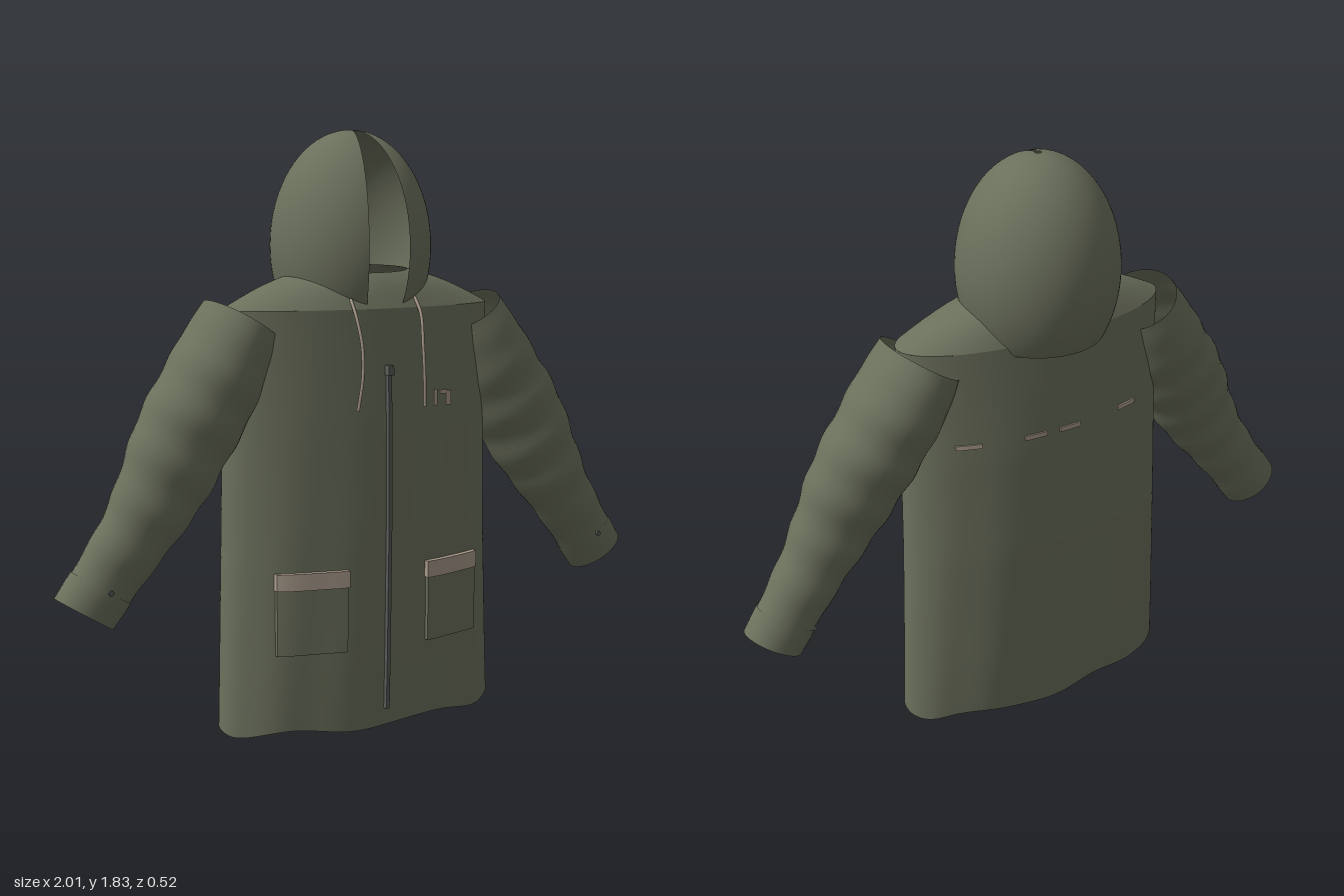
import * as THREE from 'three';

const fabric = new THREE.MeshStandardMaterial({ color: 0x6b705c, side: THREE.DoubleSide });
fabric.name = 'olive fabric';
const trim = new THREE.MeshStandardMaterial({ color: 0xa89a8a });
trim.name = 'beige trim';
const metal = new THREE.MeshStandardMaterial({ color: 0x585b58 });
metal.name = 'grey metal';

function part(group, name, geometry, material) {
  const mesh = new THREE.Mesh(geometry, material);
  mesh.name = name;
  group.add(mesh);
  return mesh;
}

// Skin over rings of equal length, each closed on itself
function loft(rings, flip = false) {
  const n = rings[0].length, positions = [], index = [];
  rings.forEach(r => r.forEach(p => positions.push(p.x, p.y, p.z)));
  for (let i = 0; i < rings.length - 1; i++) {
    for (let j = 0; j < n; j++) {
      const a = i * n + j, b = i * n + (j + 1) % n, c = a + n, d = b + n;
      if (flip) index.push(a, b, c, b, d, c);
      else index.push(a, c, b, b, c, d);
    }
  }
  const g = new THREE.BufferGeometry();
  g.setAttribute('position', new THREE.Float32BufferAttribute(positions, 3));
  g.setIndex(index);
  g.computeVertexNormals();
  return g;
}

const makeRing = (n, fn) => Array.from({ length: n }, (_, j) => fn(j / n * Math.PI * 2));

// Body cross-sections: y, half width, back z, front z
const sections = [
  [0.0, 0.48, -0.15, 0.212], [0.2, 0.473, -0.162, 0.218], [0.6, 0.461, -0.173, 0.224],
  [0.95, 0.455, -0.165, 0.222], [1.15, 0.455, -0.152, 0.216], [1.3, 0.46, -0.14, 0.21],
];

function section(y) {
  let i = 0;
  while (i < sections.length - 2 && y > sections[i + 1][0]) i++;
  const [lo, hi] = [sections[i], sections[i + 1]];
  const k = THREE.MathUtils.clamp((y - lo[0]) / (hi[0] - lo[0]), 0, 1);
  return [1, 2, 3].map(c => THREE.MathUtils.lerp(lo[c], hi[c], k));
}

function bodyPoint(a, y) {
  const [w, back, front] = section(y);
  const fold = 1 + 0.022 * Math.sin(11 * a + 1.5 * y) * Math.max(0, 1 - y / 1.25);
  return new THREE.Vector3(w * Math.cos(a), y,
    (front + back) / 2 + (front - back) / 2 * Math.sin(a) * fold);
}

// Thin plate bent over the front (side 1) or back (side -1) of the body
function plate(x, y, w, h, depth, side = 1) {
  const g = new THREE.BoxGeometry(w, h, depth, 16, 6, 1);
  const p = g.attributes.position;
  for (let i = 0; i < p.count; i++) {
    const px = p.getX(i) + x, py = p.getY(i) + y;
    const a = Math.acos(px / section(py)[0]) * side;
    p.setXYZ(i, px, py, bodyPoint(a, py).z + p.getZ(i) + side * depth * 0.4);
  }
  g.computeVertexNormals();
  return g;
}

// Sleeve profile along its axis: distance, outer and inner reach, back and front z
const sleeveRows = [
  [0, 0.122, -0.122, -0.13, 0.17], [0.12, 0.134, -0.145, -0.134, 0.187],
  [0.25, 0.14, -0.158, -0.115, 0.187], [0.4, 0.142, -0.158, -0.09, 0.181],
  [0.55, 0.12, -0.152, -0.057, 0.17], [0.69, 0.097, -0.13, -0.04, 0.156],
  [0.85, 0.094, -0.108, -0.033, 0.136], [0.982, 0.098, -0.096, -0.034, 0.126],
];
const curve = (a, b) => new THREE.CatmullRomCurve3(
  sleeveRows.map(r => new THREE.Vector3(r[0], r[a], r[b])), false, 'catmullrom', 0.5);
const reach = curve(1, 2), depth = curve(3, 4);

function sleeve(m, from, to, steps, pad = 0) {
  const rings = [];
  for (let i = 0; i <= steps; i++) {
    const u = from + (to - from) * i / steps;
    const r = reach.getPoint(u), d = depth.getPoint(u), t = r.x;
    const ripple = 0.005 * Math.sin(t * 42) * Math.sin(Math.PI * u);
    rings.push(makeRing(40, a => {
      const s = (r.y + r.z) / 2 + ((r.y - r.z) / 2 + pad + ripple * 0.6) * Math.cos(a);
      const z = (d.y + d.z) / 2 + ((d.z - d.y) / 2 + pad + ripple) * Math.sin(a);
      return new THREE.Vector3(m * (0.395 + 0.535 * t + 0.845 * s),
        1.265 - 0.845 * t + 0.535 * s, z);
    }));
  }
  return loft(rings, m > 0);
}

export function createModel() {
  const coat = new THREE.Group();
  coat.name = 'hoodedCoat';

  // Body with a gently waved hem
  const bodyRings = [];
  for (let i = 0; i <= 30; i++) {
    const y = 1.3 * i / 30;
    bodyRings.push(makeRing(120, a => {
      const p = bodyPoint(a, y);
      if (i === 0) p.y = 0.01 + 0.01 * Math.sin(6 * a + 0.5);
      return p;
    }));
  }
  part(coat, 'body', loft(bodyRings), fabric);

  // Shoulder yoke closing up to the neck opening
  const yokeRings = [];
  for (let i = 0; i <= 8; i++) {
    const k = i / 8;
    yokeRings.push(makeRing(96, a => {
      const rim = bodyPoint(a, 1.3);
      const neck = new THREE.Vector3(0.17 * Math.cos(a), 1.412 - 0.008 * Math.sin(a),
        0.03 + 0.11 * Math.sin(a));
      const p = rim.lerp(neck, k);
      p.y += 0.012 * Math.sin(Math.PI * k);
      return p;
    }));
  }
  part(coat, 'shoulderYoke', loft(yokeRings), fabric);

  // Hood: an egg with a wedge left open at the face
  const gap = 0.285;
  const hood = part(coat, 'hood', new THREE.SphereGeometry(1, 64, 40,
    Math.PI / 2 + gap, Math.PI * 2 - gap * 2, 0.04, 2.165), fabric);
  hood.scale.set(0.25, 0.355, 0.25);
  hood.position.set(0, 1.48, -0.01);

  // Front zip
  part(coat, 'zip', plate(0, 0.595, 0.012, 1.07, 0.018), metal);
  part(coat, 'zipPull', plate(0, 1.115, 0.018, 0.03, 0.028), metal);

  for (const m of [1, -1]) {
    const side = m > 0 ? 'left' : 'right';

    part(coat, side + 'Sleeve', sleeve(m, 0, 1, 56), fabric);
    part(coat, side + 'Cuff', sleeve(m, 0.9, 1, 6, 0.003), fabric);
    const button = part(coat, side + 'CuffButton',
      new THREE.CylinderGeometry(0.008, 0.008, 0.008, 12), metal);
    button.rotation.x = Math.PI / 2;
    button.position.set(m * 0.87, 0.51, 0.137);

    // Patch pocket with flap
    part(coat, side + 'Pocket', plate(m * 0.248, 0.365, 0.212, 0.21, 0.016), fabric);
    part(coat, side + 'PocketFlap', plate(m * 0.247, 0.487, 0.218, 0.052, 0.022), trim);

    // Hanging drawstring
    const path = new THREE.CatmullRomCurve3([
      [0.112, 1.33, 0.19], [0.113, 1.28, 0.225], [0.106, 1.19, 0.25],
      [0.108, 1.1, 0.256], [0.117, 1.0, 0.244],
    ].map(([x, y, z]) => new THREE.Vector3(m * x, y, z)));
    part(coat, side + 'Drawstring', new THREE.TubeGeometry(path, 30, 0.005, 8), trim);
  }

  // Small chest bars and broken strip across the back
  for (const [x, y, w, h] of [[0.178, 1.02, 0.012, 0.05], [0.21, 1.035, 0.025, 0.012],
    [0.232, 1.015, 0.02, 0.045]]) {
    part(coat, 'chestBar', plate(x, y, w, h, 0.006), trim);
  }
  for (const x of [0.31, 0.1, -0.02, -0.25]) {
    part(coat, 'backStripDash', plate(x, 1.0, 0.075, 0.014, 0.006, -1), trim);
  }
  return coat;
}
